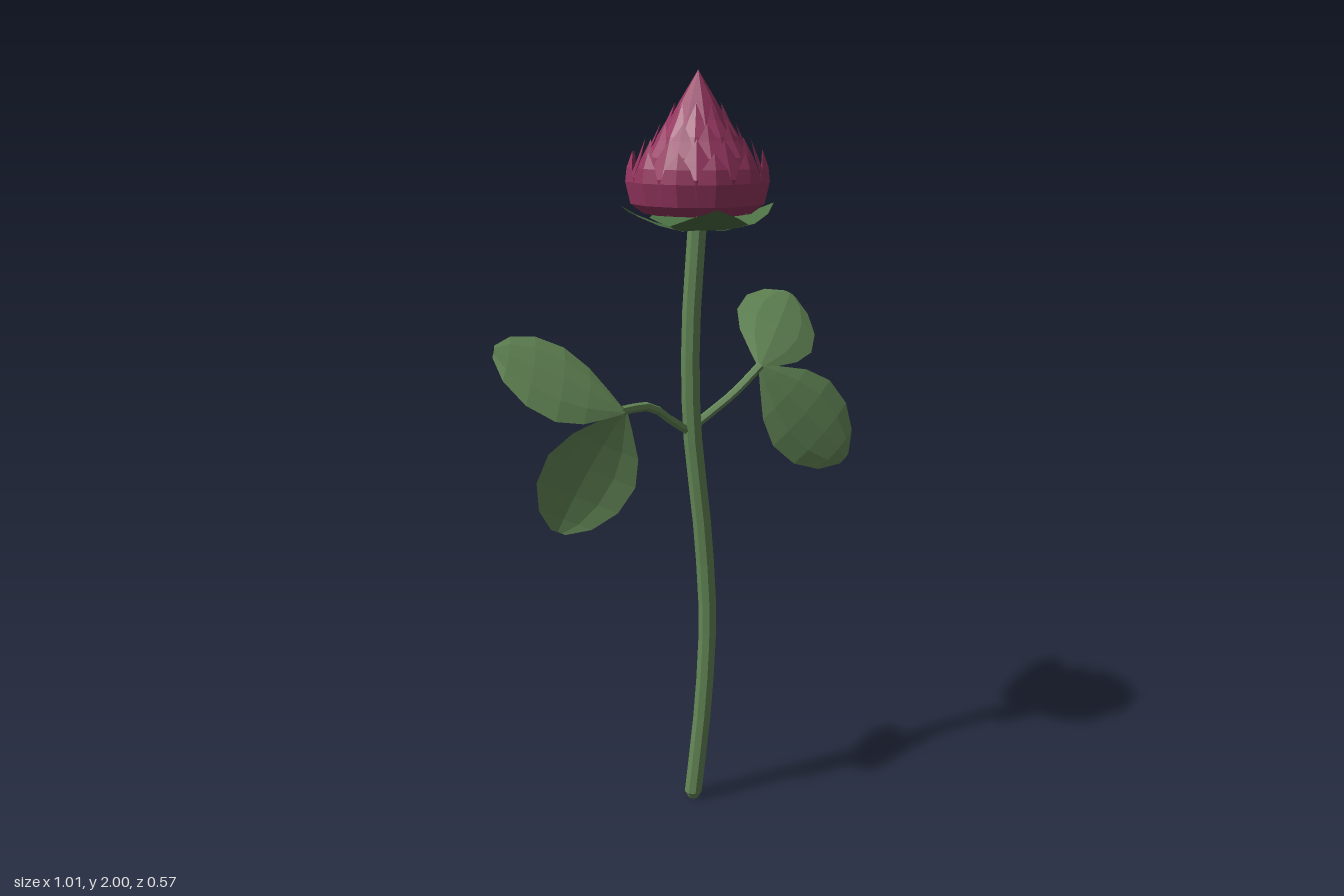
import * as THREE from 'three';

const V = (x, y, z) => new THREE.Vector3(x, y, z);

function material(name, color, side = THREE.DoubleSide) {
  const m = new THREE.MeshStandardMaterial({ color, side, flatShading: true });
  m.name = name;
  return m;
}

function part(name, geometry, mat) {
  const mesh = new THREE.Mesh(geometry, mat);
  mesh.name = name;
  return mesh;
}

// Faceted sheet through rows of points (each row has the same length)
function sheet(rows) {
  const n = rows[0].length;
  const index = [];
  for (let i = 0; i < rows.length - 1; i++) {
    for (let j = 0; j < n - 1; j++) {
      const a = i * n + j, b = a + 1, c = a + n, d = c + 1;
      if (j < (n - 1) / 2) index.push(a, b, d, a, d, c);
      else index.push(a, b, c, b, d, c);
    }
  }
  const g = new THREE.BufferGeometry().setFromPoints(rows.flat());
  g.setIndex(index);
  const flat = g.toNonIndexed();
  flat.computeVertexNormals();
  return flat;
}

// Blunt oval leaf, folded along a raised midrib
function leafGeometry(base, tip, across) {
  const along = tip.clone().sub(base);
  const normal = along.clone().cross(across).normalize();
  if (normal.y < 0) normal.negate();
  const outline = [[0, 0.03], [0.13, 0.36], [0.3, 0.76], [0.5, 1], [0.72, 0.93], [0.9, 0.6], [1, 0.16]];
  return sheet(outline.map(([t, w]) => [-1, -0.55, 0, 0.55, 1].map((s) =>
    base.clone()
      .addScaledVector(along, t)
      .addScaledVector(across, s * w * 0.5)
      .addScaledVector(normal, 0.03 * t * (1 - t) + 0.022 * w * (0.4 - s * s)))));
}

// Bud petal or sepal pointing along +z: rows of [height, radius, half width]
function petalGeometry(rows, fold) {
  return sheet(rows.map(([y, r, w]) => [-1, 0, 1].map((s) =>
    V(s * w, y, r - (s ? fold * w : 0)))));
}

function ring(name, geometry, mat, count, offset) {
  const group = new THREE.Group();
  group.name = name + 'Ring';
  for (let i = 0; i < count; i++) {
    const p = part(name, geometry, mat);
    p.rotation.y = (i + offset) * Math.PI * 2 / count;
    group.add(p);
  }
  return group;
}

export function createModel() {
  const model = new THREE.Group();
  model.name = 'budFlower';
  const green = material('leafGreen', 0x638756);
  const darkGreen = material('sepalGreen', 0x4c7044);
  const pink = material('petalPink', 0x963660);

  // Gently curved stem with a chamfered foot
  const stemPath = new THREE.CatmullRomCurve3([
    V(0.022, 0.02, 0.05), V(0.05, 0.3, 0.05), V(0.06, 0.55, 0.05), V(0.045, 0.8, 0.05),
    V(0.014, 1.1, 0.05), V(0.011, 1.35, 0.05), V(0.028, 1.63, 0.05)]);
  model.add(part('stem', new THREE.TubeGeometry(stemPath, 14, 0.025, 8), green));
  const foot = part('stemFoot', new THREE.CylinderGeometry(0.025, 0.014, 0.02, 8), green);
  foot.position.set(0.022, 0.01, 0.05);
  model.add(foot);

  // Leaf stalks
  const stalks = [
    [V(0.012, 1.075, 0.05), V(-0.04, 1.11, 0.075), V(-0.11, 1.163, 0.11), V(-0.195, 1.17, 0.165)],
    [V(0.012, 1.085, 0.05), V(0.06, 1.115, 0.035), V(0.14, 1.168, 0.015), V(0.217, 1.235, -0.005)],
  ];
  for (const points of stalks) {
    model.add(part('leafStalk',
      new THREE.TubeGeometry(new THREE.CatmullRomCurve3(points), 6, 0.012, 6), green));
  }

  // Leaves: base, tip, edge-to-edge vector
  const leaves = [
    [V(-0.185, 1.165, 0.165), V(-0.513, 1.34, 0.185), V(-0.055, -0.14, 0.22)],
    [V(-0.185, 1.172, 0.165), V(-0.37, 0.875, 0.21), V(0.23, -0.12, -0.065)],
    [V(0.213, 1.228, 0), V(0.385, 1.385, -0.285), V(0.2, -0.12, 0.06)],
    [V(0.213, 1.235, 0), V(0.465, 0.96, -0.005), V(0.18, 0.16, -0.065)],
  ];
  for (const [base, tip, across] of leaves) {
    model.add(part('leaf', leafGeometry(base, tip, across), green));
  }

  // Bud head
  const bud = new THREE.Group();
  bud.name = 'bud';
  bud.position.set(0.028, 0, 0.05);
  model.add(bud);

  // Sepals curling under the bud
  const sepal = petalGeometry([
    [1.605, 0.01, 0.015], [1.61, 0.05, 0.065], [1.628, 0.11, 0.1],
    [1.648, 0.16, 0.062], [1.672, 0.202, 0]], -0.12);
  bud.add(ring('sepal', sepal, darkGreen, 4, 0));

  // Closed pointed heart of the bud
  const core = [[0, 1.64], [0.12, 1.65], [0.15, 1.69], [0.148, 1.73], [0.12, 1.79],
    [0.082, 1.86], [0.046, 1.925], [0, 2]].map(([r, y]) => new THREE.Vector2(r, y));
  bud.add(part('budCore', new THREE.LatheGeometry(core, 10), pink));

  // Overlapping petal rings, outermost first
  const petals = [
    [12, 0, [[1.65, 0.14, 0.034], [1.675, 0.174, 0.044], [1.73, 0.187, 0.045],
      [1.765, 0.183, 0.032], [1.805, 0.168, 0]]],
    [12, 0.5, [[1.67, 0.155, 0.036], [1.74, 0.17, 0.042], [1.785, 0.152, 0.032],
      [1.835, 0.132, 0]]],
    [10, 0, [[1.74, 0.15, 0.04], [1.79, 0.138, 0.04], [1.83, 0.114, 0.026], [1.872, 0.094, 0]]],
    [10, 0.5, [[1.79, 0.125, 0.034], [1.84, 0.105, 0.03], [1.88, 0.08, 0.018], [1.92, 0.06, 0]]],
  ];
  for (const [count, offset, rows] of petals) {
    bud.add(ring('petal', petalGeometry(rows, 0.25), pink, count, offset));
  }
  return model;
}
